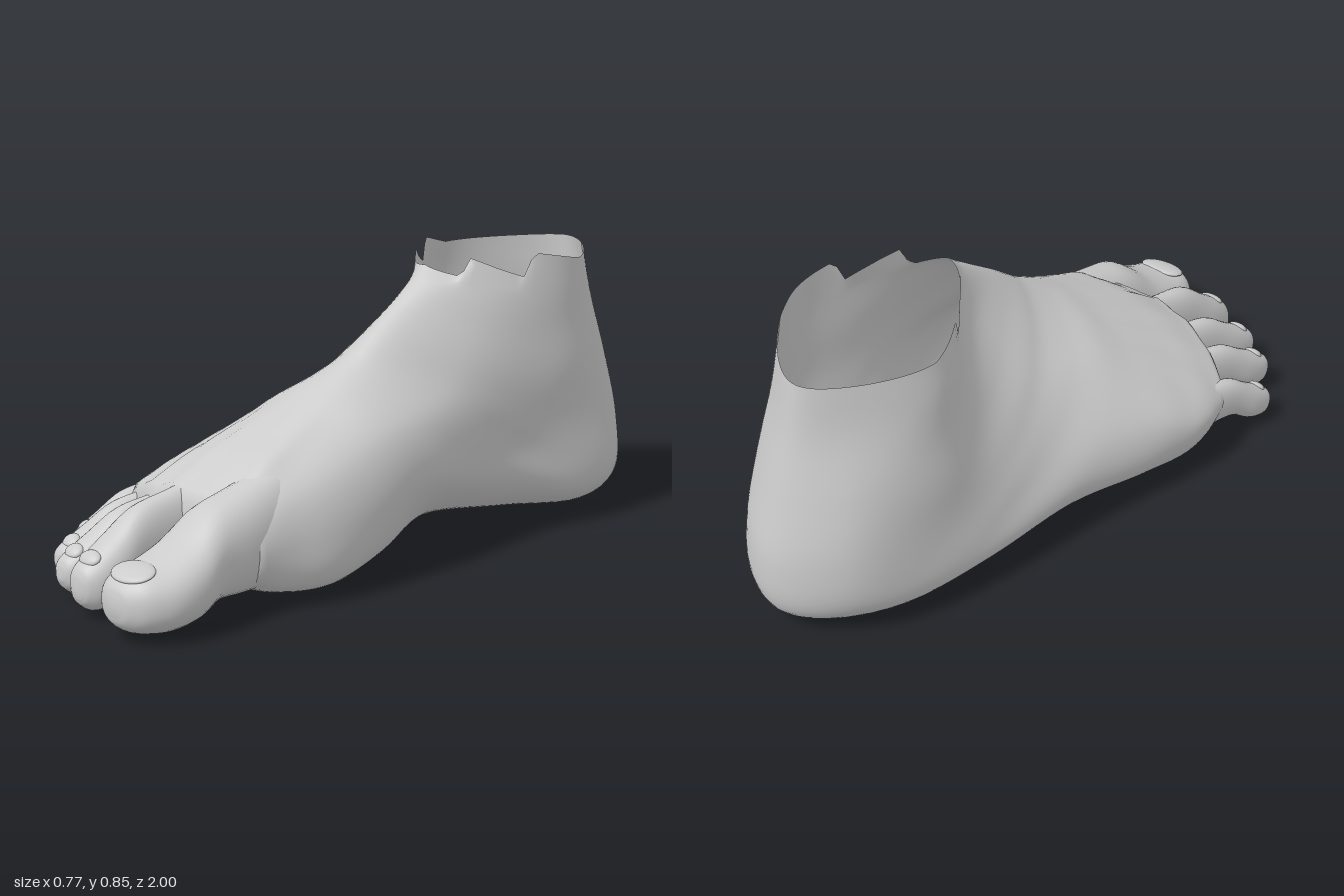
import * as THREE from 'three';

const V = (x, y, z) => new THREE.Vector3(x, y, z);
const gauss = (d, w) => Math.exp(-(d * d) / (w * w));
const smooth = THREE.MathUtils.smoothstep;
const lerp = THREE.MathUtils.lerp;

// Skin a list of closed rings; an optional tip point closes the far end
function loft(rings, tip) {
  const n = rings[0].length, index = [];
  const pts = rings.flat();
  for (let i = 0; i < rings.length - 1; i++) {
    for (let j = 0; j < n; j++) {
      const k = (j + 1) % n, a = i * n, b = a + n;
      index.push(a + j, a + k, b + j, a + k, b + k, b + j);
    }
  }
  if (tip) {
    const last = (rings.length - 1) * n;
    for (let j = 0; j < n; j++) index.push(last + j, last + (j + 1) % n, pts.length);
    pts.push(tip);
  }
  const g = new THREE.BufferGeometry().setFromPoints(pts);
  g.setIndex(index);
  g.computeVertexNormals();
  return g;
}

// Sections fanning from the ankle rim round to the ball of the foot:
// front z,y | back z,y | front x, back x | outer x at 3 depths | inner x at 3 depths
const SECTIONS = [
  [-.21, .82, -.90, .82, .15, .08, -.01, -.13, -.03, .30, .37, .22],
  [-.16, .79, -.92, .65, .16, .10, .02, -.145, -.04, .30, .375, .25],
  [-.08, .735, -.96, .45, .16, .12, .02, -.15, -.07, .30, .37, .29],
  [.00, .68, -.995, .25, .16, .14, -.02, -.16, -.08, .31, .365, .32],
  [.06, .635, -.97, .08, .16, .14, -.07, -.18, -.09, .32, .35, .345],
  [.10, .605, -.82, .01, .16, .12, -.09, -.20, -.13, .33, .335, .33],
  [.16, .57, -.55, .03, .16, .05, -.11, -.22, -.19, .34, .34, .26],
  [.22, .535, -.20, .06, .16, -.02, -.13, -.27, -.24, .35, .37, .22],
  [.30, .49, .10, .035, .16, .03, -.14, -.33, -.30, .34, .385, .32],
  [.40, .44, .32, .005, .16, .08, -.16, -.36, -.31, .33, .38, .35],
  [.50, .39, .48, .02, .17, .08, -.17, -.365, -.31, .31, .35, .32],
  [.60, .32, .58, .065, .15, .02, -.19, -.35, -.30, .30, .335, .30],
];
const DEPTHS = [.2, .55, .88];
// Torn ankle rim: [fraction round the ring, height]
const RIM = [[0, .83], [.07, .82], [.075, .86], [.17, .78], [.18, .85], [.25, .81], [.5, .82],
  [.72, .82], [.82, .86], [.83, .79], [.92, .855], [.93, .80], [1, .83]];
const TENDONS = [.23, .03, -.065, -.165, -.28];

function rimHeight(u) {
  const k = RIM.findIndex(r => r[0] > u), a = RIM[k - 1], b = RIM[k];
  return lerp(a[1], b[1], (u - a[0]) / (b[0] - a[0]));
}

function footGeometry() {
  const N = 96, STEP = 6;
  const key = SECTIONS.map(([tz, ty, bz, by, tx, bx, ...xs]) => {
    const at = (t, x) => V(x, lerp(ty, by, t), lerp(tz, bz, t));
    const outer = DEPTHS.map((t, i) => at(t, xs[i]));
    const inner = DEPTHS.map((t, i) => at(t, xs[3 + i])).reverse();
    const curve = new THREE.CatmullRomCurve3([at(0, tx), ...outer, at(1, bx), ...inner], true, 'centripetal');
    return Array.from({ length: N }, (_, j) => curve.getPoint(j / N));
  });
  const rows = (SECTIONS.length - 1) * STEP;
  const rings = Array.from({ length: rows + 1 }, () => []);
  for (let j = 0; j < N; j++) {
    const c = new THREE.CatmullRomCurve3(key.map(r => r[j]), false, 'catmullrom', .5);
    for (let i = 0; i <= rows; i++) rings[i].push(c.getPoint(i / rows));
  }
  // Rounded front end between the toes
  const centre = V(0, .19, .59), front = rings[rows];
  for (let k = 1; k <= 5; k++) {
    const a = k / 6 * Math.PI / 2;
    rings.push(front.map(p => p.clone().lerp(centre, 1 - Math.cos(a)).add(V(0, 0, .05 * Math.sin(a)))));
  }
  const tip = V(0, .19, .64);
  rings.forEach((ring, i) => ring.forEach((p, j) => {
    const u = j / N;
    // Torn rim
    if (i < STEP) p.y += (rimHeight(u) - .82) * (1 - i / STEP);
    // Tendon ridges fanning to the toes
    const up = Math.max(0, Math.cos(u * 2 * Math.PI)) * smooth(p.z, .1, .55);
    const spread = (p.z + .3) / .75;
    for (const t of TENDONS) p.y += .014 * up * gauss(p.x - lerp(.15, t, spread), .035);
    // Ankle bones
    const side = p.x > .12 ? 1 : -1;
    p.x += side * .012 * gauss(p.z + .6, .13) * gauss(p.y - (side > 0 ? .52 : .44), .11);
    // Toe line sweeps back on the outer side
    if (p.x < 0) p.z -= 1.1 * p.x * p.x * smooth(p.z, .1, .6);
  }));
  return loft(rings, tip);
}

// Toe from rows of [z, x, top, bottom, half width]
function toeGeometry(rows, tip) {
  const curve = k => new THREE.CatmullRomCurve3(rows.map(r => V(r[k[0]], r[k[1]], r[k[2]])));
  curve.type = 'catmullrom';
  const a = curve([1, 2, 0]), b = curve([4, 3, 0]);
  a.curveType = b.curveType = 'catmullrom';
  const rings = [], steps = (rows.length - 1) * 5;
  const pow = v => Math.sign(v) * Math.abs(v) ** .9;
  for (let i = 0; i <= steps; i++) {
    const p = a.getPoint(i / steps), q = b.getPoint(i / steps);
    rings.push(Array.from({ length: 32 }, (_, j) => {
      const t = j / 32 * 2 * Math.PI;
      return V(p.x + q.x * pow(Math.cos(t)),
        (p.y + q.y) / 2 + (p.y - q.y) / 2 * pow(Math.sin(t)), p.z);
    }));
  }
  return loft(rings, tip);
}

// Shared small toe shape: [along, top share, bottom, width share]
const SMALL = [[0, 1, .08, .8], [.35, .87, .09, .76], [.6, .79, .08, .82], [.77, .62, .038, 1],
  [.9, .49, .026, .92], [.965, .42, .045, .66], [.99, .35, .065, .36]];

export function createModel() {
  const group = new THREE.Group();
  const skin = new THREE.MeshStandardMaterial({ color: 0xcccccc, side: THREE.DoubleSide });
  const add = (name, geometry) => {
    const mesh = new THREE.Mesh(geometry, skin);
    mesh.name = name;
    group.add(mesh);
    return mesh;
  };
  const addNail = (name, x, y, z, w, len, tilt) => {
    const nail = add(name, new THREE.SphereGeometry(1, 24, 16));
    nail.scale.set(w, .014, len);
    nail.position.set(x, y, z);
    nail.rotation.x = tilt;
  };

  add('footAndAnkle', footGeometry());

  // Big toe
  add('bigToe', toeGeometry([
    [.45, .23, .385, .06, .09], [.6, .23, .345, .06, .102], [.7, .23, .315, .06, .104],
    [.79, .232, .25, .03, .12], [.88, .225, .208, .02, .122], [.95, .215, .19, .03, .098],
    [.985, .21, .162, .055, .06], [.996, .21, .135, .085, .028]], V(.21, .11, 1)));
  addNail('bigToeNail', .215, .188, .93, .072, .05, .28);

  // Small toes: name, base x, base z, tip x, tip z, height at base, half width
  for (const [name, x0, z0, x1, z1, h, w] of [
    ['secondToe', .035, .45, 0, .955, .36, .068],
    ['thirdToe', -.06, .42, -.142, .90, .31, .056],
    ['fourthToe', -.16, .36, -.25, .825, .285, .052],
    ['littleToe', -.28, .28, -.347, .69, .265, .049],
  ]) {
    add(name, toeGeometry(
      SMALL.map(([t, top, bot, ws]) => [lerp(z0, z1, t), lerp(x0, x1, t), h * top, bot, w * ws]),
      V(x1, h * .25, z1)));
    addNail(name + 'Nail', lerp(x0, x1, .9), h * .49 - .007, lerp(z0, z1, .9), w * .55, .026, .65);
  }
  return group;
}
